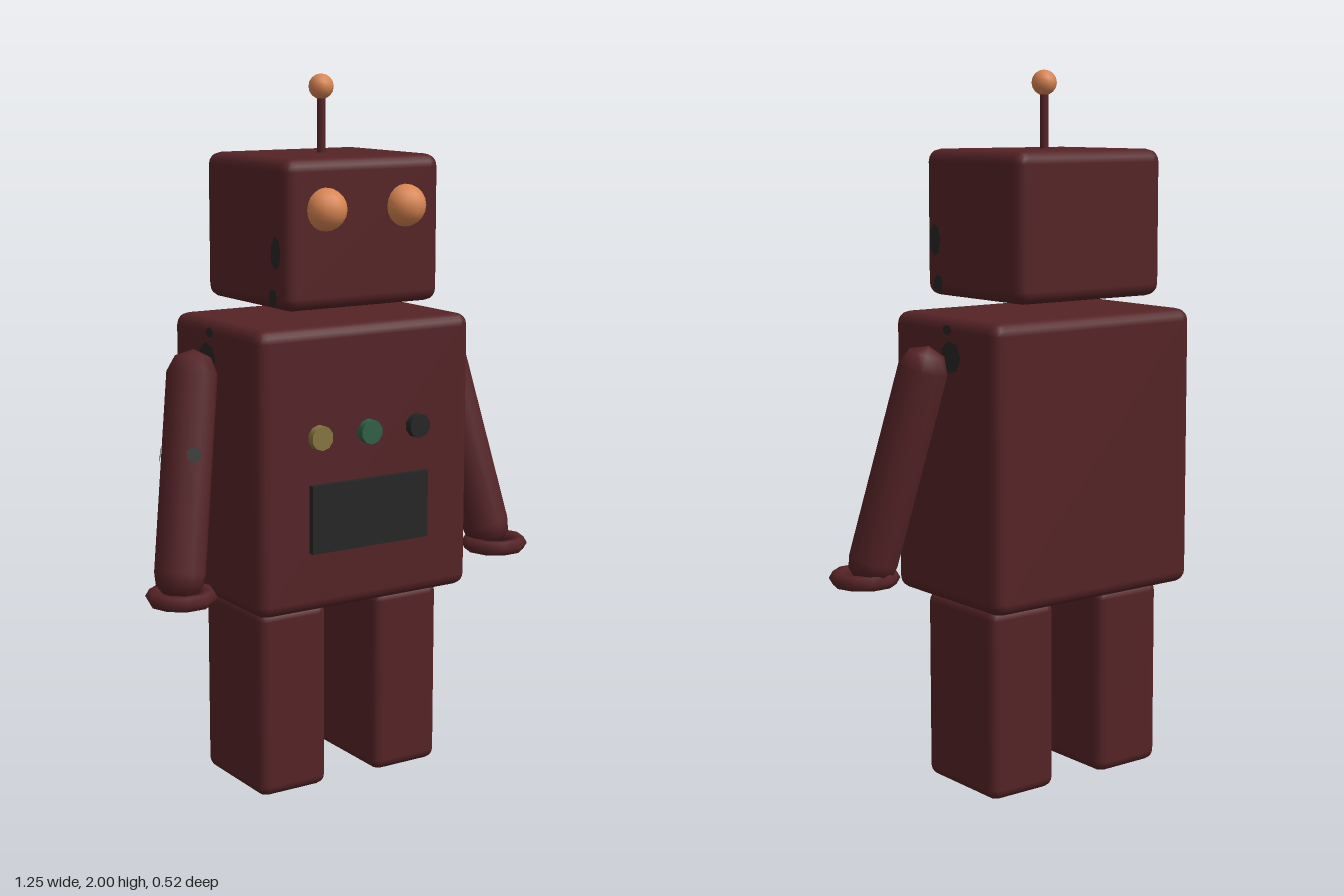
import * as THREE from 'three';
import { RoundedBoxGeometry } from 'three/addons/geometries/RoundedBoxGeometry.js';

const mat = (name, color, side = THREE.FrontSide) => {
  const m = new THREE.MeshStandardMaterial({ color, side });
  m.name = name;
  return m;
};

export function createModel() {
  const robot = new THREE.Group();
  robot.name = 'robot';
  const red = mat('darkRedPaint', 0x552326);
  const dark = mat('darkMetal', 0x262626, THREE.DoubleSide);
  const copper = mat('copper', 0xd98552);
  const olive = mat('oliveButton', 0x857540);
  const green = mat('greenButton', 0x306046);

  const add = (name, geo, material, x, y, z, parent = robot) => {
    const m = new THREE.Mesh(geo, material);
    m.name = name;
    m.position.set(x, y, z);
    parent.add(m);
    return m;
  };
  // Bevelled box given by its limits
  const box = (name, x0, x1, y0, y1, z0, z1, r) =>
    add(name, new RoundedBoxGeometry(x1 - x0, y1 - y0, z1 - z0, 2, r), red,
      (x0 + x1) / 2, (y0 + y1) / 2, (z0 + z1) / 2);
  // Flat worn patch facing along a normal
  const patch = (name, x, y, z, normal, w, h, parent = robot) => {
    const m = add(name, new THREE.CircleGeometry(1, 7), dark, x, y, z, parent);
    m.scale.set(w, h, 1);
    m.quaternion.setFromUnitVectors(new THREE.Vector3(0, 0, 1), normal.normalize());
    return m;
  };

  // Head, torso and antenna
  box('head', -0.25, 0.25, 1.38, 1.785, -0.24, 0.198, 0.035);
  box('torso', -0.347, 0.347, 0.55, 1.34, -0.26, 0.215, 0.035);
  add('antennaRod', new THREE.CylinderGeometry(0.012, 0.012, 0.18, 8), red, 0, 1.865, -0.025);
  add('antennaBall', new THREE.SphereGeometry(0.035, 10, 8), copper, 0, 1.965, -0.025);

  // Chest panel and buttons
  add('chestPanel', new THREE.BoxGeometry(0.38, 0.19, 0.03), dark, 0, 0.815, 0.218);
  [olive, green, dark].forEach((m, i) => {
    const b = add('chestButton', new THREE.CylinderGeometry(0.034, 0.036, 0.04, 10), m,
      (i - 1) * 0.16, 1.04, 0.216);
    b.rotation.x = Math.PI / 2;
  });

  // Arm profile: rounded shoulder, straight sleeve, rounded wrist
  const start = new THREE.Vector3(0.415, 1.205, -0.025);
  const end = new THREE.Vector3(0.515, 0.68, 0.075);
  const len = start.distanceTo(end);
  const r = 0.071;
  const profile = [[0.001, -0.065], [0.04, -0.06], [0.064, -0.035], [r, 0],
    [r, len], [0.05, len + 0.045], [0.001, len + 0.065]].map(p => new THREE.Vector2(...p));

  for (const s of [1, -1]) {
    const side = s > 0 ? 'left' : 'right';
    add(side + 'Eye', new THREE.SphereGeometry(0.058, 12, 10), copper, s * 0.128, 1.65, 0.199);
    box(side + 'Leg', s * 0.19 - 0.11, s * 0.19 + 0.11, 0.005, 0.547, -0.18, 0.137, 0.03);

    // Arm hanging outward and forward
    const arm = add(side + 'Arm', new THREE.LatheGeometry(profile, 10), red, s * end.x, end.y, end.z);
    const axis = new THREE.Vector3(s * (start.x - end.x), start.y - end.y, start.z - end.z);
    arm.quaternion.setFromUnitVectors(new THREE.Vector3(0, 1, 0), axis.normalize());

    // Open ring hand
    const hand = add(side + 'Hand', new THREE.TorusGeometry(0.076, 0.022, 6, 10), red, s * 0.527, 0.625, 0.103);
    hand.rotation.x = Math.PI / 2;

    // Worn patches on head and shoulder sides
    const out = new THREE.Vector3(s, 0, 0);
    patch('headPatch', s * 0.252, 1.535, 0.145, out.clone(), 0.026, 0.045);
    patch('headSmallPatch', s * 0.252, 1.415, 0.13, out.clone(), 0.022, 0.025);
    patch('shoulderPatch', s * 0.349, 1.235, -0.06, out.clone(), 0.045, 0.045);
    patch('shoulderSmallPatch', s * 0.349, 1.308, -0.045, out.clone(), 0.02, 0.014);

    // Worn patches on the right forearm
    if (s < 0) {
      for (const a of [-0.25, -2.1]) {
        const n = new THREE.Vector3(Math.sin(a), 0, Math.cos(a));
        patch('armPatch', n.x * 0.073, 0.32, n.z * 0.073, n, 0.022, 0.022, arm);
      }
    }
  }
  return robot;
}
